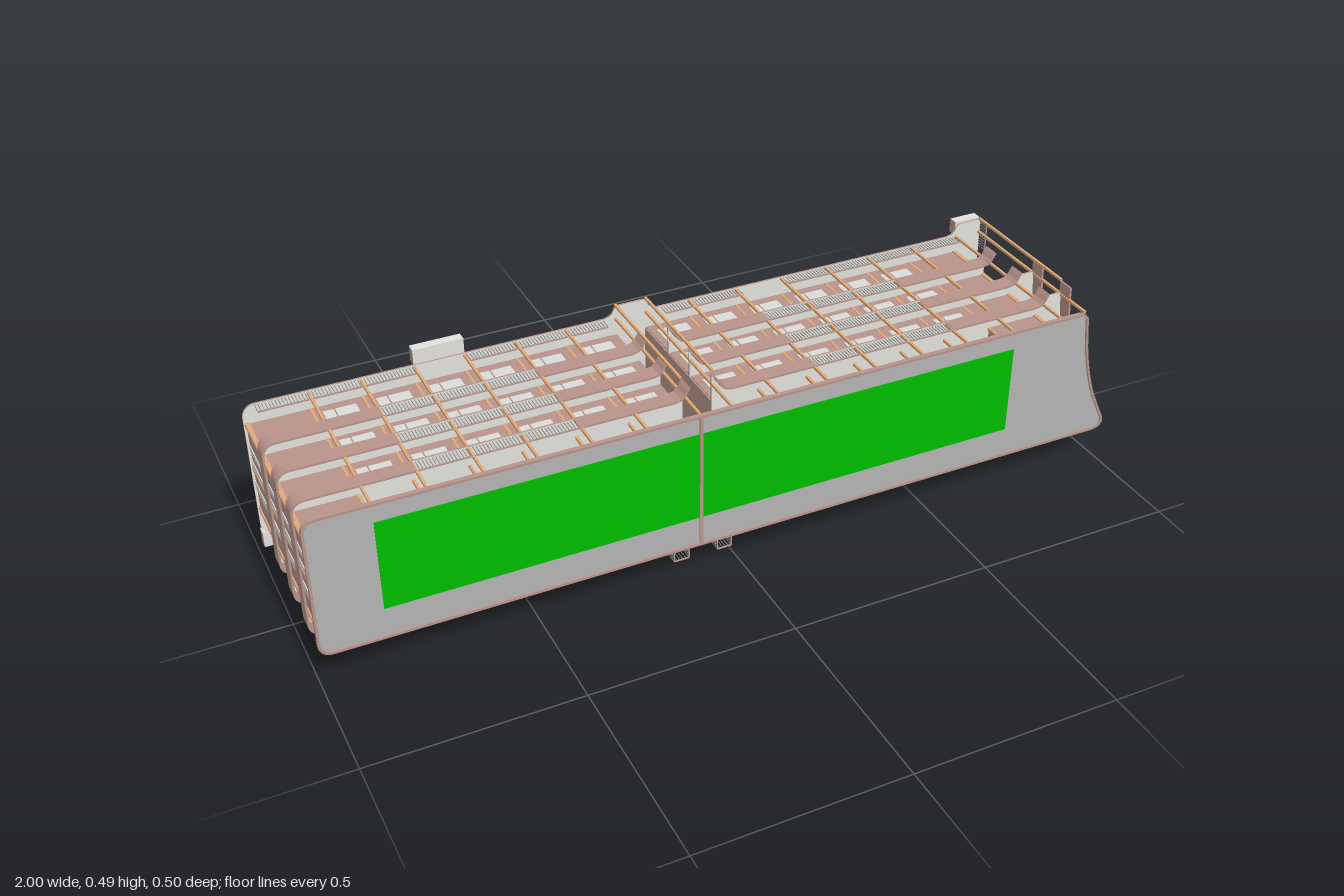
import * as THREE from 'three';

const mat = (name, color) => {
  const m = new THREE.MeshStandardMaterial({ color });
  m.name = name;
  return m;
};

export function createModel() {
  const root = new THREE.Group();
  const grey = mat('roof grey', 0xb3b3b3);
  const pale = mat('pale concrete', 0xe0e0dc);
  const brown = mat('brown wall', 0xb7938a);
  const tan = mat('tan post', 0xe2a873);
  const green = mat('green roof', 0x00bb00);
  const glass = mat('pale glass', 0xd8dcd9);
  const steel = mat('steel rail', 0x8c8c8a);

  const add = (name, geo, material, parent = root) => {
    const m = new THREE.Mesh(geo, material);
    m.name = name;
    parent.add(m);
    return m;
  };
  // Box given by its minimum and maximum corners
  const box = (name, material, x0, x1, y0, y1, z0, z1) => {
    const m = add(name, new THREE.BoxGeometry(x1 - x0, y1 - y0, z1 - z0), material);
    m.position.set((x0 + x1) / 2, (y0 + y1) / 2, (z0 + z1) / 2);
  };
  // Flat plate extruded from an outline in the xy plane
  const plate = (name, pts, z0, z1, face, side) => {
    const shape = new THREE.Shape(pts.map(p => new THREE.Vector2(p[0], p[1])));
    const g = new THREE.ExtrudeGeometry(shape, { depth: z1 - z0, bevelEnabled: false });
    add(name, g, [face, side]).position.z = z0;
  };
  // Thin upright band that follows an open path
  const band = (name, pts, z0, z1, t = 0.005) => {
    const inner = pts.map((p, i) => {
      const a = pts[Math.max(i - 1, 0)], b = pts[Math.min(i + 1, pts.length - 1)];
      const dx = b[0] - a[0], dy = b[1] - a[1], l = Math.hypot(dx, dy);
      return [p[0] - dy / l * t, p[1] + dx / l * t];
    });
    plate(name, [...pts, ...inner.reverse()], z0, z1, brown, brown);
  };
  const arc = (cx, cy, r, a0, a1, n = 6) => Array.from({ length: n + 1 }, (_, i) => {
    const a = (a0 + (a1 - a0) * i / n) * Math.PI / 180;
    return [cx + r * Math.cos(a), cy + r * Math.sin(a)];
  });
  // Railing between two plan points: balusters plus a handrail
  const railing = (x0, y0, x1, y1, z0, h = 0.038) => {
    const g = new THREE.Group();
    g.name = 'railing';
    root.add(g);
    const len = Math.hypot(x1 - x0, y1 - y0), n = Math.max(2, Math.round(len / 0.0075));
    const bars = new THREE.InstancedMesh(new THREE.BoxGeometry(0.0014, 0.0014, h), steel, n + 1);
    bars.name = 'balusters';
    const m = new THREE.Matrix4();
    for (let i = 0; i <= n; i++) {
      bars.setMatrixAt(i, m.makeTranslation(x0 + (x1 - x0) * i / n, y0 + (y1 - y0) * i / n, z0 + h / 2));
    }
    g.add(bars);
    const rail = add('handrail', new THREE.BoxGeometry(len, 0.003, 0.003), brown, g);
    rail.position.set((x0 + x1) / 2, (y0 + y1) / 2, z0 + h);
    rail.rotation.z = Math.atan2(y1 - y0, x1 - x0);
  };

  // Plan curves
  const B = 0.097, T = 0.449;
  const leftEnd = [...arc(-0.97, T - 0.03, 0.03, 90, 180), ...arc(-0.97, B + 0.03, 0.03, 180, 270)];
  const sweep = new THREE.SplineCurve([[0.97, B], [0.992, 0.104], [0.998, 0.125], [0.98, 0.165], [0.952, 0.23],
    [0.928, 0.32], [0.916, 0.4]].map(p => new THREE.Vector2(...p))).getPoints(28).map(p => [p.x, p.y]);
  const flare = (x, s) => [[x + 0.034 * s, T], [x + 0.02 * s, 0.452], [x + 0.011 * s, 0.46], [x + 0.006 * s, 0.47], [x, 0.478]];
  const gapL = flare(-0.105, -1), gapR = flare(-0.033, 1);
  const stairFlare = flare(0.845, -1);

  // Roof: pale ceiling, grey deck, raised brown rim, green field and joint line
  const roofLine = [...sweep, ...arc(0.888, T - 0.026, 0.026, 0, 90), ...leftEnd];
  plate('roofCeiling', roofLine, 0.2385, 0.2405, pale, brown);
  plate('roofDeck', roofLine, 0.2405, 0.245, grey, brown);
  band('roofRim', [...roofLine, roofLine[0]], 0.2405, 0.2495, 0.006);
  box('roofLawn', green, -0.85, 0.705, 0.175, 0.4, 0.2435, 0.247);
  box('roofJoint', brown, -0.114, -0.106, B, T, 0.2435, 0.2495);

  // Ground slab
  plate('groundSlab', [[-0.145, B], [-0.145, 0.005], [0.005, 0.005], [0.005, B], [0.912, B], [0.912, 0.48],
    [0.845, 0.478], ...stairFlare.slice(0, -1).reverse(), ...gapR, ...[...gapL].reverse(), ...leftEnd],
  -0.2265, -0.221, pale, brown);

  // Upper floors with parapet bands and balcony railings
  const bays = [[-0.73, -0.365], [0.215, 0.58]];
  [-0.093, 0.02, 0.135].forEach((z, i) => {
    const h = z + 0.04;
    plate('leftFloor', [[-0.105, 0.005], [-0.105, 0.478], ...[...gapL].reverse().slice(1),
      ...leftEnd, [-0.145, B], [-0.145, 0.005]], z, z + 0.005, pale, brown);
    const rightEnd = i ? [...sweep, [0.912, T]] : [[0.84, B], [0.84, T]];
    plate('rightFloor', [[-0.033, 0.005], [0.005, 0.005], [0.005, B], ...rightEnd, ...gapR], z, z + 0.005, pale, brown);
    band('leftGapParapet', [...gapL].reverse().concat([[bays[0][1], T]]), z, h);
    band('rightGapParapet', [[bays[1][0], T], ...gapR], z, h);
    band('rightParapet', [...[...stairFlare].reverse(), [bays[1][1], T]], z, h);
    for (const [a, b] of bays) railing(a, T - 0.003, b, T - 0.003, z);
    const rightTail = i ? [...sweep, [0.912, T], [0.911, 0.478]] : [[0.84, B]];
    if (i < 2) {
      band('leftParapet', [[bays[0][0], T], ...leftEnd, [-0.145, B]], z, h);
      band('rightLowerParapet', [[0.005, B], ...rightTail], z, h);
    } else {
      // The open top storey has railed bays on the lower side too
      band('leftParapet', [[bays[0][0], T], ...leftEnd, [bays[0][0], B]], z, h);
      band('leftLowerParapet', [[bays[0][1], B], [-0.145, B]], z, h);
      band('rightInnerParapet', [[0.005, B], [bays[1][0], B]], z, h);
      band('rightLowerParapet', [[bays[1][1], B], ...rightTail], z, h);
      for (const [a, b] of bays) railing(a, B + 0.003, b, B + 0.003, z);
    }
    // Stair landings beside the central passage
    for (const [x0, x1] of [[-0.144, -0.106], [-0.032, 0.004]]) {
      railing(x0, 0.007, x0, B, z);
      railing(x1, 0.007, x1, B, z);
      railing(x0, 0.007, x1, 0.007, z);
    }
  });

  // Long facades, bay by bay, with a window on both faces
  const xs = [[-1, -0.85, -0.73, -0.605, -0.485, -0.36, -0.235, -0.107], [-0.031, 0.085, 0.21, 0.335, 0.46, 0.58, 0.705, 0.84]];
  const levels = [-0.195, -0.07, 0.052];
  const W = 0.004;
  for (const y of [0.173, 0.4]) {
    for (const row of xs) {
      box('facade', brown, row[0] + 0.002, row[7], y - W / 2, y + W / 2, -0.2272, 0.135);
      for (let i = 0; i < 7; i++) {
        const endBay = row === xs[0] ? i === 0 : i === 6;
        if (endBay) {
          box('endRoomFacade', brown, row[i] + 0.002, row[i + 1], y - W / 2, y + W / 2, 0.135, 0.24);
          continue;
        }
        const c = (row[i] + row[i + 1]) / 2;
        for (const z of levels) {
          box('window', glass, c - 0.04, c + 0.037, y - 0.004, y + 0.004, z, z + 0.052);
          box('windowFrame', brown, c - 0.015, c - 0.012, y - 0.0046, y + 0.0046, z, z + 0.052);
        }
      }
    }
  }

  // Cross walls; the outer ends carry ribbon windows
  const cross = (x, top) => box('crossWall', brown, x - W / 2, x + W / 2, 0.173, 0.4, -0.2272, top);
  for (const x of [-0.6, -0.35, -0.107, -0.031, 0.215, 0.465]) cross(x, 0.135);
  for (const x of [-0.847, 0.708]) cross(x, 0.24);
  for (const x of [-0.992, 0.838]) {
    cross(x, 0.24);
    for (const [z0, z1] of [[-0.222, -0.103], [-0.09, 0.01], [0.04, 0.125], [0.155, 0.23]]) {
      for (const [y0, y1] of [[0.228, 0.25], [0.293, 0.308], [0.335, 0.35]]) {
        box('ribbonWindow', glass, x - 0.004, x + 0.004, y0, y1, z0, z1);
      }
    }
    for (const y of [0.173, 0.287, 0.4]) box('endPost', tan, x - 0.005, x + 0.005, y - 0.005, y + 0.005, -0.222, 0.2385);
  }

  // Posts running the full height of the block
  const post = (x, y, top = 0.2385, w = 0.003) => box('post', tan, x - w, x + w, y - w, y + w, -0.222, top);
  for (const row of xs) {
    for (const x of row.slice(1, 7)) {
      for (const y of [0.101, 0.173, 0.287, 0.4, 0.4445]) post(x, y);
    }
  }
  for (const x of [-0.108, -0.03]) {
    for (const y of [0.101, 0.287, 0.4445]) post(x, y);
    post(x, 0.481, 0.135);
  }
  for (const x of [-0.142, -0.108, -0.03, 0.002]) post(x, 0.004, 0.135);
  post(0.84, 0.4445);
  post(0.84, 0.101);
  post(0.908, 0.4445);
  post(0.908, 0.127);
  post(0.908, 0.481, 0.135);

  // Ground railings and the curved one at the end ramp
  for (const [a, b] of [[-0.97, -0.61], [-0.48, -0.14], [0.01, 0.215], [0.34, 0.83]]) railing(a, T - 0.003, b, T - 0.003, -0.222, 0.032);
  for (const [a, b] of [[-0.84, -0.61], [-0.48, -0.15], [0.01, 0.21], [0.34, 0.7]]) railing(a, B + 0.003, b, B + 0.003, -0.222, 0.032);
  railing(0.91, 0.405, 0.91, 0.478, -0.222, 0.032);
  railing(0.91, 0.13, 0.91, 0.17, -0.222, 0.032);
  const ramp = [[0.875, 0.097], [0.9, 0.09], [0.913, 0.07], [0.917, 0.032]];
  for (let i = 0; i < 3; i++) railing(...ramp[i], ...ramp[i + 1], -0.222, 0.032);

  // Entrance steps along both long sides
  const step = (x0, x1, y0, y1) =>
    box('entranceStep', [brown, brown, pale, pale, pale, pale], x0, x1, y0, y1, -0.249, -0.2255);
  for (const [a, b] of [[-0.998, -0.85], [-0.605, -0.483], [0.21, 0.338], [0.705, 0.838]]) step(a, b, 0.06, 0.1);
  step(-0.605, -0.483, 0.448, 0.486);
  step(0.838, 0.91, 0.448, 0.484);
  for (const [a, b] of [[-0.145, -0.107], [-0.035, 0.005]]) {
    step(a, b, 0.056, 0.12);
    box('stairFoot', pale, a, b, 0.005, 0.056, -0.249, -0.2255);
  }
  return root;
}
